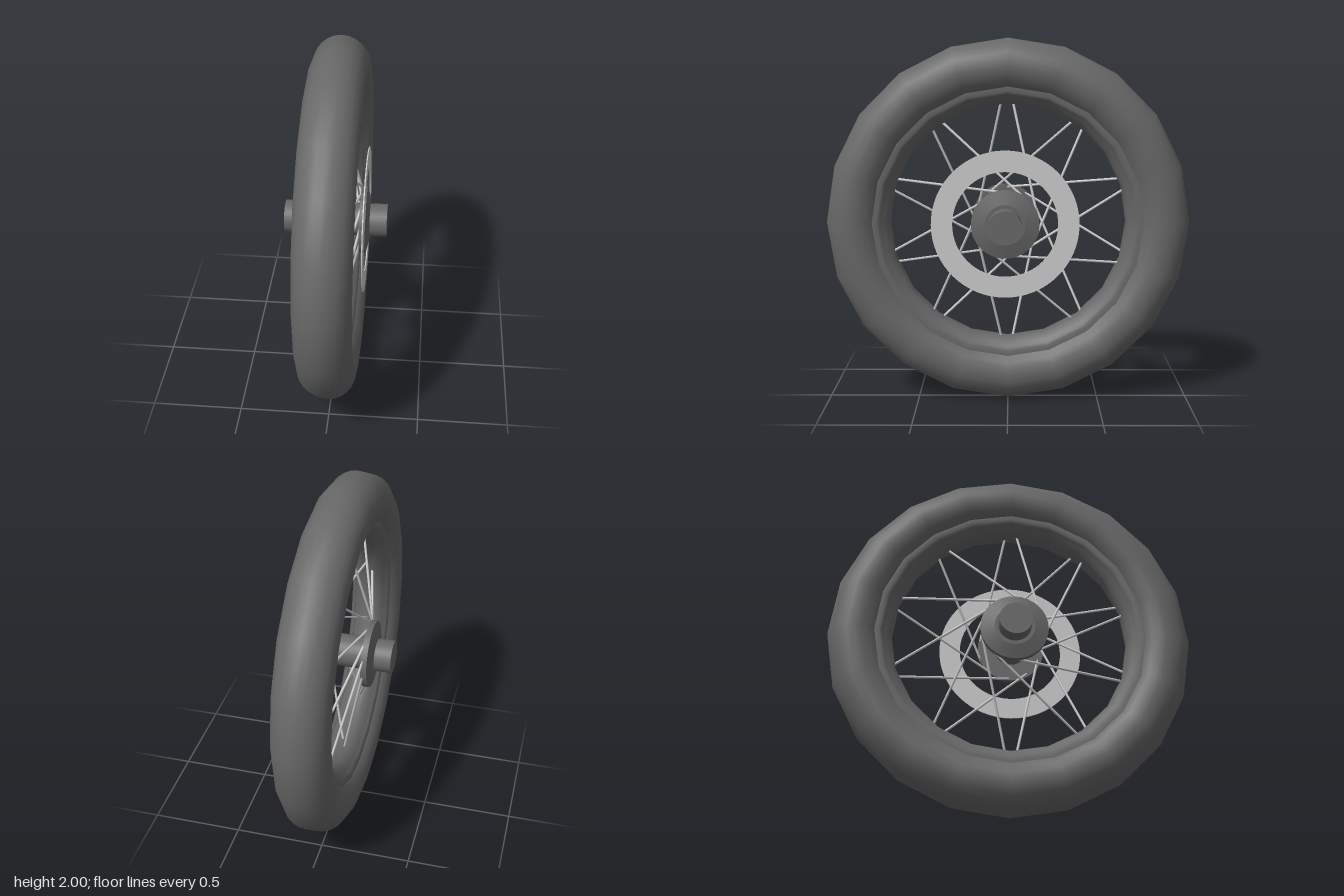
import * as THREE from 'three';

const dark = new THREE.MeshStandardMaterial({ color: 0x686868 });
const grey = new THREE.MeshStandardMaterial({ color: 0xcccccc });

function add(parent, name, geometry, material) {
  const mesh = new THREE.Mesh(geometry, material);
  mesh.name = name;
  parent.add(mesh);
  return mesh;
}

// Cylinder lying along x, from x0 (radius r0) to x1 (radius r1)
function axial(parent, name, x0, x1, r0, r1) {
  const g = new THREE.CylinderGeometry(r1, r0, x1 - x0, 32);
  g.rotateZ(-Math.PI / 2);
  g.translate((x0 + x1) / 2, 0, 0);
  return add(parent, name, g, dark);
}

// Round bar between two points
function bar(parent, name, a, b, radius) {
  const dir = b.clone().sub(a);
  const mesh = add(parent, name, new THREE.CylinderGeometry(radius, radius, dir.length(), 8), grey);
  mesh.position.copy(a).add(b).multiplyScalar(0.5);
  mesh.quaternion.setFromUnitVectors(new THREE.Vector3(0, 1, 0), dir.normalize());
  return mesh;
}

// Point at an angle (from +z towards +y) around the wheel axis
function polar(x, radius, angle) {
  return new THREE.Vector3(x, radius * Math.sin(angle), radius * Math.cos(angle));
}

export function createModel() {
  const model = new THREE.Group();
  model.name = 'spokedWheel';
  const wheel = new THREE.Group();
  wheel.name = 'wheel';
  wheel.position.y = 1;
  model.add(wheel);

  // Tyre: round section swept in 20 steps
  const tyrePts = [];
  for (let i = 0; i <= 24; i++) {
    const a = Math.PI + (i / 24) * Math.PI * 2;
    tyrePts.push(new THREE.Vector2(0.85 + 0.15 * Math.cos(a), 0.15 * Math.sin(a)));
  }
  const tyre = new THREE.LatheGeometry(tyrePts, 20);
  tyre.rotateZ(-Math.PI / 2);
  add(wheel, 'tyre', tyre, dark);

  // Rim: shallow band lining the inside of the tyre
  const rimPts = [
    [0.76, 0.1], [0.715, 0.105], [0.7, 0.09], [0.685, 0.075], [0.66, 0.055], [0.65, 0.025],
    [0.65, -0.025], [0.66, -0.055], [0.685, -0.075], [0.7, -0.09], [0.715, -0.105], [0.76, -0.1],
  ].map(([r, x]) => new THREE.Vector2(r, x));
  const rim = new THREE.LatheGeometry(rimPts, 20);
  rim.rotateZ(-Math.PI / 2);
  add(wheel, 'rim', rim, dark);

  // Hub with axle and two flanges whose outer faces are slightly conical
  const hub = new THREE.Group();
  hub.name = 'hub';
  hub.position.set(0, 0.005, 0.014);
  wheel.add(hub);
  axial(hub, 'axle', -0.28, 0.28, 0.09, 0.09);
  axial(hub, 'leftFlange', 0.135, 0.168, 0.185, 0.185);
  axial(hub, 'leftFlangeCap', 0.168, 0.187, 0.185, 0.11);
  axial(hub, 'rightFlange', -0.168, -0.135, 0.185, 0.185);
  axial(hub, 'rightFlangeCap', -0.187, -0.168, 0.11, 0.185);

  // Brake disc on the left side
  const ring = new THREE.Shape().absarc(0, 0, 0.4, 0, Math.PI * 2);
  ring.holes.push(new THREE.Path().absarc(0, 0, 0.285, 0, Math.PI * 2, true));
  const disc = new THREE.ExtrudeGeometry(ring, { depth: 0.006, bevelEnabled: false, curveSegments: 32 });
  disc.rotateY(Math.PI / 2);
  disc.translate(0.163, 0, 0);
  add(hub, 'brakeDisc', disc, grey);

  // Spokes: ten pairs, one of each pair to either flange, leaving the hub near its tangent
  const spokes = new THREE.Group();
  spokes.name = 'spokes';
  spokes.position.set(0, 0.003, 0.005);
  wheel.add(spokes);
  const deg = Math.PI / 180;
  for (let i = 0; i < 10; i++) {
    const a = (18 + i * 36) * deg;
    for (const s of [1, -1]) {
      const inner = polar(s * 0.145, 0.17, a + s * 78 * deg);
      const outer = polar(s * 0.01, 0.665, a + s * 2.6 * deg);
      bar(spokes, 'spoke', inner, outer, 0.007);
    }
  }
  return model;
}
